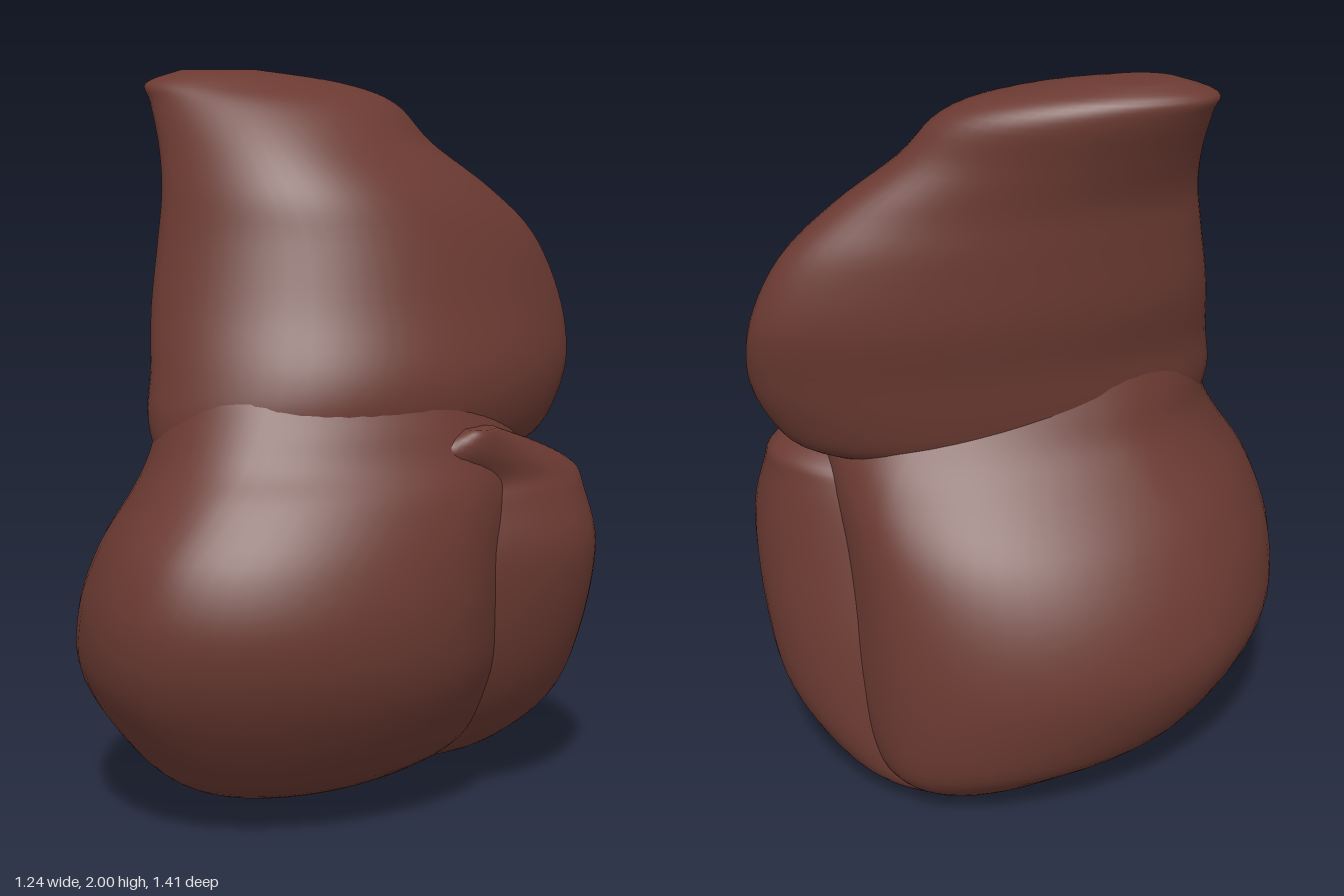
import * as THREE from 'three';

const clay = new THREE.MeshStandardMaterial({ color: 0x6b3a32 });
clay.name = 'reddish brown';

// Smooth value between rows (Catmull-Rom on one column)
function sample(rows, t, k) {
  const n = rows.length - 1;
  const i = Math.min(Math.floor(t), n - 1), f = t - i;
  const at = (j) => rows[Math.max(0, Math.min(n, j))][k];
  const [a, b, c, d] = [at(i - 1), at(i), at(i + 1), at(i + 2)];
  return b + 0.5 * f * (c - a + f * (2 * a - 5 * b + 4 * c - d + f * (3 * (b - c) + d - a)));
}

// Loft of slanted ovals. Row: y, xMin, xMax, zMin, zMax,
// slant (-1 = thin diagonal slab, 0 = upright oval), swell toward the front left
function loft(name, rows, power = 1, sides = 56, steps = 5) {
  const pos = [], idx = [];
  const rings = (rows.length - 1) * steps;
  const shape = (c) => Math.sign(c) * Math.abs(c) ** power;
  for (let r = 0; r <= rings; r++) {
    const [y, x0, x1, z0, z1, slant, swell] = [0, 1, 2, 3, 4, 5, 6].map((k) => sample(rows, r / steps, k));
    const phase = Math.acos(Math.max(-0.95, Math.min(0.95, slant)));
    for (let j = 0; j < sides; j++) {
      const a = (j / sides) * Math.PI * 2;
      const s = swell * Math.SQRT1_2 * Math.max(0, Math.cos(a + phase / 2)) ** 2;
      pos.push(
        (x0 + x1) / 2 + ((x1 - x0) / 2) * shape(Math.cos(a)) + s,
        y,
        (z0 + z1) / 2 + ((z1 - z0) / 2) * shape(Math.cos(a + phase)) + s
      );
    }
  }
  for (let r = 0; r < rings; r++) {
    for (let j = 0; j < sides; j++) {
      const a = r * sides + j, b = r * sides + ((j + 1) % sides);
      idx.push(a, b, a + sides, b, b + sides, a + sides);
    }
  }
  // end caps
  for (const [ring, up] of [[0, false], [rings, true]]) {
    const c = pos.length / 3, row = rows[up ? rows.length - 1 : 0];
    pos.push((row[1] + row[2]) / 2, row[0], (row[3] + row[4]) / 2);
    for (let j = 0; j < sides; j++) {
      const a = ring * sides + j, b = ring * sides + ((j + 1) % sides);
      if (up) idx.push(a, b, c);
      else idx.push(b, a, c);
    }
  }
  const geo = new THREE.BufferGeometry();
  geo.setAttribute('position', new THREE.Float32BufferAttribute(pos, 3));
  geo.setIndex(idx);
  geo.computeVertexNormals();
  const mesh = new THREE.Mesh(geo, clay);
  mesh.name = name;
  return mesh;
}

export function createModel() {
  const group = new THREE.Group();
  group.name = 'lumpyForm';

  // Round belly, narrowing through the waist into the slab
  group.add(loft('belly', [
    [0.0, -0.14, -0.04, -0.26, -0.14, 0, 0],
    [0.03, -0.25, 0.08, -0.46, 0.14, 0, 0],
    [0.1, -0.39, 0.23, -0.58, 0.4, -0.05, 0],
    [0.2, -0.52, 0.36, -0.62, 0.53, -0.06, 0],
    [0.4, -0.62, 0.47, -0.62, 0.67, -0.06, 0],
    [0.58, -0.6, 0.5, -0.6, 0.71, -0.06, 0],
    [0.75, -0.52, 0.5, -0.57, 0.67, -0.12, 0],
    [0.9, -0.41, 0.48, -0.53, 0.56, -0.28, 0.03],
    [1.0, -0.355, 0.445, -0.49, 0.48, -0.42, 0.05],
    [1.1, -0.335, 0.4, -0.42, 0.42, -0.52, 0.07],
    [1.2, -0.31, 0.35, -0.38, 0.37, -0.62, 0.07],
    [1.3, -0.25, 0.25, -0.3, 0.28, -0.7, 0],
  ], 1.1));

  // Slanted upper slab, flat behind and swollen in front, rising to a horn-like tip
  group.add(loft('upperHorn', [
    [0.94, -0.25, 0.32, -0.44, 0.36, -0.7, 0.02],
    [1.0, -0.3, 0.39, -0.57, 0.41, -0.72, 0.09],
    [1.1, -0.33, 0.42, -0.64, 0.41, -0.75, 0.15],
    [1.22, -0.34, 0.42, -0.685, 0.375, -0.78, 0.18],
    [1.38, -0.37, 0.375, -0.7, 0.32, -0.81, 0.19],
    [1.55, -0.38, 0.315, -0.64, 0.27, -0.82, 0.18],
    [1.68, -0.39, 0.23, -0.53, 0.235, -0.8, 0.16],
    [1.8, -0.43, 0.12, -0.41, 0.195, -0.76, 0.12],
    [1.91, -0.48, 0.04, -0.34, 0.165, -0.73, 0.06],
    [1.965, -0.5, -0.08, -0.24, 0.15, -0.72, 0.02],
    [2.0, -0.42, -0.26, -0.08, 0.08, -0.6, 0],
  ]));

  // Shoulder lobe below the notch, merging into the flat back
  group.add(loft('backLobe', [
    [0.05, -0.2, 0.12, -0.54, -0.2, -0.2, 0],
    [0.1, -0.3, 0.28, -0.6, -0.05, -0.3, 0],
    [0.25, -0.32, 0.46, -0.64, 0.1, -0.38, 0],
    [0.45, -0.3, 0.56, -0.635, 0.16, -0.38, 0],
    [0.7, -0.22, 0.615, -0.595, 0.16, -0.42, 0],
    [0.86, -0.1, 0.58, -0.56, 0.13, -0.45, 0],
    [0.93, 0.02, 0.55, -0.53, 0.1, -0.45, 0],
    [1.0, 0.2, 0.51, -0.38, 0.08, -0.3, 0],
    [1.07, 0.4, 0.48, -0.14, -0.04, 0, 0],
  ]));

  return group;
}
